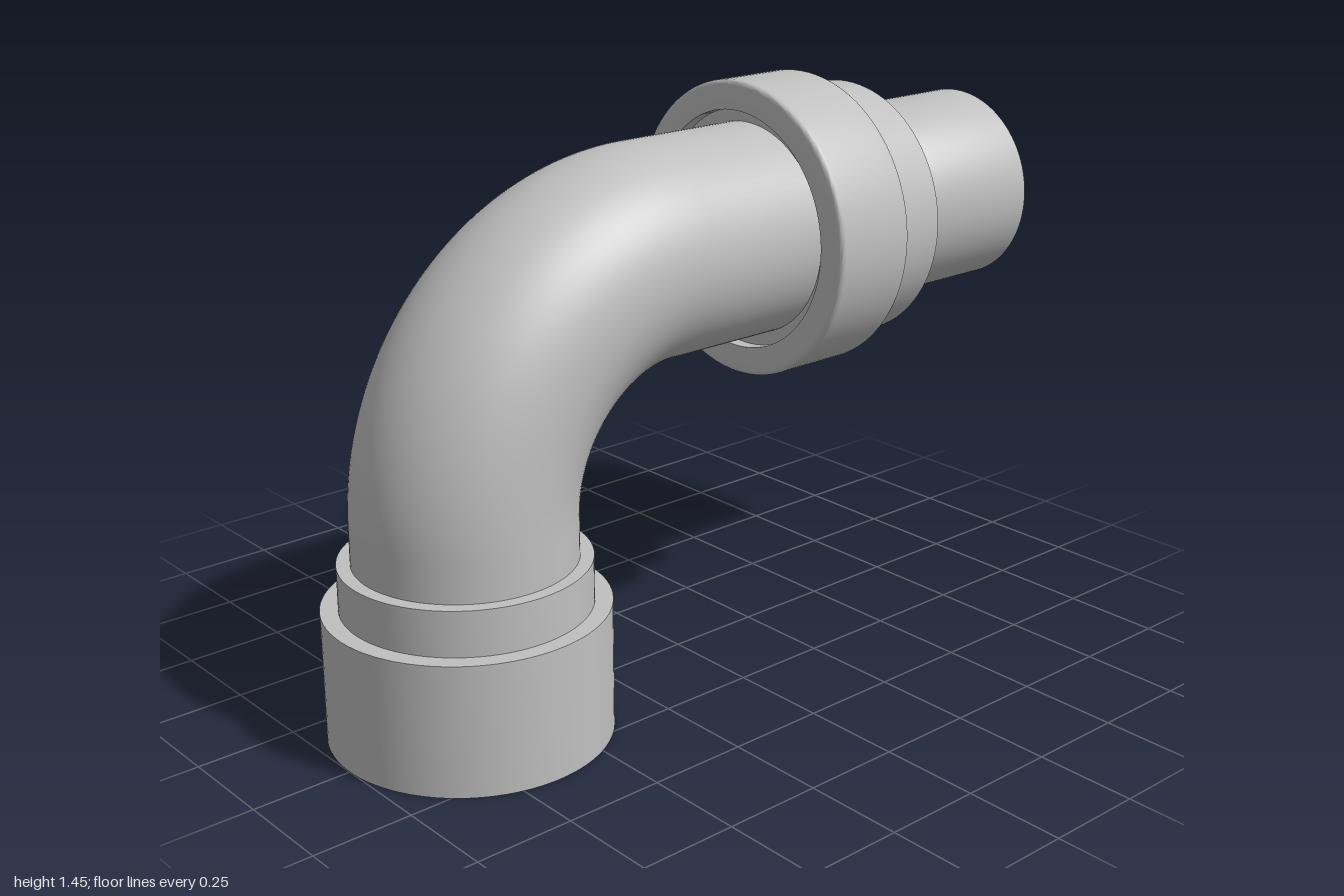
import * as THREE from 'three';
import { toCreasedNormals } from 'three/addons/utils/BufferGeometryUtils.js';

const SEG = 96;
const AXIS_X = -0.657, AXIS_Y = 1.08; // centre lines of the two legs
const PIPE_R = 0.267, BEND_R = 0.54;

export function createModel() {
  const group = new THREE.Group();
  const grey = new THREE.MeshStandardMaterial({ color: 0xc0c0c0, side: THREE.DoubleSide });
  grey.name = 'light grey';

  const add = (name, geometry) => {
    const mesh = new THREE.Mesh(geometry, grey);
    mesh.name = name;
    group.add(mesh);
    return mesh;
  };

  // Turned part from [radius, position, cornerRadius] points, closed into a ring
  const turned = (profile) => {
    const pts = [];
    const n = profile.length;
    profile.forEach(([r, h, round = 0], i) => {
      const p = new THREE.Vector2(r, h);
      if (!round) { pts.push(p); return; }
      const toward = (q) => new THREE.Vector2(q[0], q[1]).sub(p).setLength(round).add(p);
      const a = toward(profile[(i + n - 1) % n]), b = toward(profile[(i + 1) % n]);
      pts.push(...new THREE.QuadraticBezierCurve(a, p, b).getPoints(5));
    });
    pts.push(pts[0].clone());
    return toCreasedNormals(new THREE.LatheGeometry(pts, SEG), 0.6);
  };
  const upright = (profile) => turned(profile).translate(AXIS_X, 0, 0);
  const sideways = (profile) => turned(profile).rotateZ(-Math.PI / 2).translate(0, AXIS_Y, 0);

  // Lower socket: thin open cup with a shelf inside and a stepped shoulder
  add('socket', upright([
    [0.343, 0], [0.343, 0.327], [0.3, 0.327], [0.3, 0.44], [0.262, 0.44],
    [0.262, 0.275], [0.335, 0.275], [0.335, 0],
  ]));

  // Elbow pipe: straight leg, quarter bend, straight arm
  const bendX = AXIS_X + BEND_R, bendY = AXIS_Y - BEND_R;
  const tube = (length) => new THREE.CylinderGeometry(PIPE_R, PIPE_R, length, SEG, 1, true);
  add('lowerPipe', tube(bendY - 0.28).translate(AXIS_X, (bendY + 0.28) / 2, 0));
  add('bend', new THREE.TorusGeometry(BEND_R, PIPE_R, SEG, 48, Math.PI / 2)
    .rotateZ(Math.PI / 2).translate(bendX, bendY, 0));
  add('upperPipe', tube(0.3 - bendX).rotateZ(Math.PI / 2).translate((0.3 + bendX) / 2, AXIS_Y, 0));

  // Union nut: two rounded steps, hollowed slightly around the pipe
  add('unionNut', sideways([
    [0.3, 0.19], [0.373, 0.19, 0.014], [0.373, 0.425, 0.022], [0.328, 0.425, 0.016],
    [0.328, 0.583, 0.016], [0.262, 0.583], [0.262, 0.56], [0.24, 0.56],
    [0.24, 0.225], [0.3, 0.225],
  ]));

  // Spigot: outer sleeve with a recessed end around the inner bore
  add('spigot', sideways([
    [0.248, 0.5], [0.248, 0.615], [0.253, 0.625], [0.253, 1], [0.241, 1],
    [0.226, 0.955], [0.204, 0.955], [0.204, 0.985], [0.192, 1], [0.175, 1],
    [0.175, 0.25], [0.248, 0.25],
  ]));

  return group;
}
